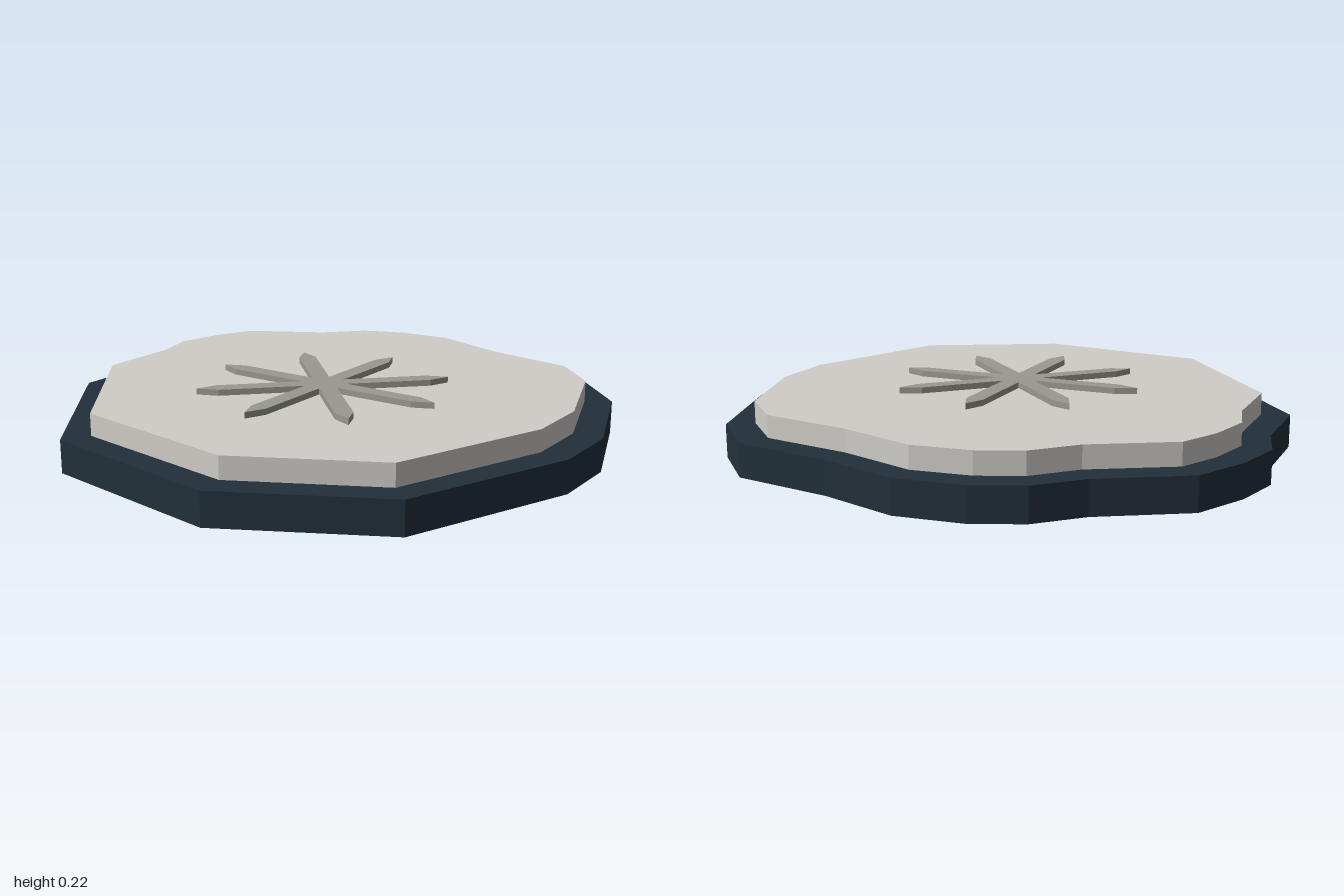
import * as THREE from 'three';
import { mergeGeometries } from 'three/addons/utils/BufferGeometryUtils.js';

// Outlines as [x, z], running back -> right -> front -> left
const BASE = [
  [-0.01, -0.99], [0.28, -0.895], [0.655, -0.83], [0.845, -0.635], [1, -0.19], [1, 0.08],
  [0.76, 0.7], [0.21, 0.99], [-0.505, 0.877], [-0.955, 0.295], [-0.955, -0.035], [-1, -0.21],
  [-0.955, -0.4], [-0.86, -0.595], [-0.565, -0.765], [-0.425, -0.9], [-0.255, -0.97],
];
const PLATE = [
  [-0.02, -0.89], [0.265, -0.793], [0.6, -0.735], [0.76, -0.577], [0.892, -0.185], [0.892, 0.067],
  [0.682, 0.63], [0.197, 0.882], [-0.45, 0.785], [-0.855, 0.26], [-0.855, -0.045], [-0.895, -0.205],
  [-0.855, -0.375], [-0.785, -0.522], [-0.51, -0.676], [-0.38, -0.81], [-0.23, -0.87],
];

// Eight-armed star with pointed tips
function starOutline(cx, cz, length, shoulder, halfWidth) {
  const notch = halfWidth / Math.sin(Math.PI / 8);
  const points = [];
  for (let i = 0; i < 8; i++) {
    const a = (i * Math.PI) / 4;
    const c = Math.cos(a), s = Math.sin(a);
    const add = (along, across) => points.push([cx + along * c - across * s, cz + along * s + across * c]);
    add(shoulder, -halfWidth);
    add(length, 0);
    add(shoulder, halfWidth);
    add(notch * Math.cos(Math.PI / 8), halfWidth);
  }
  return points;
}

// Flat-topped slab with straight walls and an open underside
function slab(name, outline, y0, y1, material) {
  const shape = new THREE.Shape(outline.map(([x, z]) => new THREE.Vector2(x, -z)));
  const top = new THREE.ShapeGeometry(shape).rotateX(-Math.PI / 2).translate(0, y1, 0).toNonIndexed();
  top.deleteAttribute('uv');
  const p = [];
  outline.forEach(([ax, az], i) => {
    const [bx, bz] = outline[(i + 1) % outline.length];
    p.push(ax, y0, az, bx, y1, bz, bx, y0, bz);
    p.push(ax, y0, az, ax, y1, az, bx, y1, bz);
  });
  const walls = new THREE.BufferGeometry();
  walls.setAttribute('position', new THREE.Float32BufferAttribute(p, 3));
  walls.computeVertexNormals();
  const mesh = new THREE.Mesh(mergeGeometries([top, walls]), material);
  mesh.name = name;
  return mesh;
}

function flat(name, color) {
  const m = new THREE.MeshStandardMaterial({ color, side: THREE.DoubleSide });
  m.name = name;
  return m;
}

export function createModel() {
  const group = new THREE.Group();
  group.name = 'steppingStone';
  group.add(
    slab('base', BASE, 0, 0.12, flat('dark slate', 0x22303a)),
    slab('topPlate', PLATE, 0.08, 0.2, flat('pale stone', 0xd0cdc8)),
    slab('star', starOutline(0.02, 0.065, 0.465, 0.39, 0.032), 0.19, 0.222, flat('grey stone', 0x9a998f)),
  );
  return group;
}
